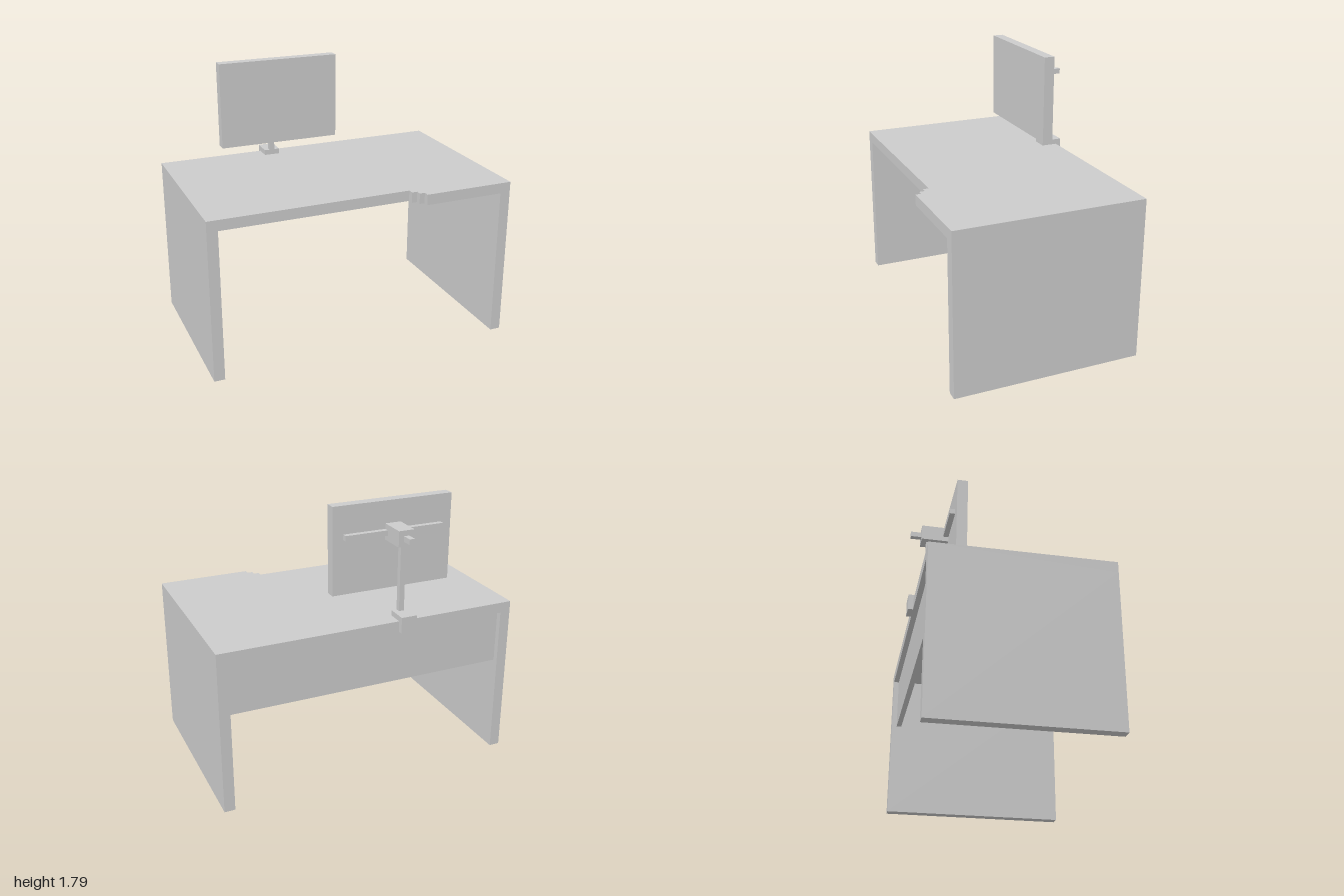
import * as THREE from 'three';

const grey = new THREE.MeshStandardMaterial({ color: 0xcccccc, flatShading: true });

// Box given by its min/max extent on each axis
function box(parent, name, [x0, x1], [y0, y1], [z0, z1]) {
  const mesh = new THREE.Mesh(new THREE.BoxGeometry(x1 - x0, y1 - y0, z1 - z0), grey);
  mesh.position.set((x0 + x1) / 2, (y0 + y1) / 2, (z0 + z1) / 2);
  mesh.name = name;
  parent.add(mesh);
  return mesh;
}

export function createModel() {
  const model = new THREE.Group();
  model.name = 'deskWithMonitor';

  const back = -0.607, frontShallow = 0.53, frontDeep = 0.64;
  const topY = 1.073, underY = 1.003, legX = 0.93;

  // Desk: stepped tabletop, side panels and modesty panel
  const desk = new THREE.Group();
  desk.name = 'desk';
  model.add(desk);

  const outline = new THREE.Shape([
    [-1, back], [1, back], [1, frontDeep], [0.392, frontDeep],
    [0.392, 0.603], [0.357, 0.603], [0.357, 0.567], [0.321, 0.567],
    [0.321, frontShallow], [-1, frontShallow],
  ].map(([x, z]) => new THREE.Vector2(x, -z)));
  const topGeometry = new THREE.ExtrudeGeometry(outline, { depth: topY - underY, bevelEnabled: false });
  topGeometry.rotateX(-Math.PI / 2);
  const tabletop = new THREE.Mesh(topGeometry, grey);
  tabletop.position.y = underY;
  tabletop.name = 'tabletop';
  desk.add(tabletop);

  box(desk, 'rightSidePanel', [-1, -legX], [0, underY], [back, frontShallow]);
  box(desk, 'leftSidePanel', [legX, 1], [0, underY], [back, frontDeep]);
  box(desk, 'modestyPanel', [-legX, legX], [0.647, underY], [back + 0.035, back + 0.07]);

  // Monitor on a clamped stand
  const monitor = new THREE.Group();
  monitor.name = 'monitor';
  model.add(monitor);

  const wide = [-0.285, -0.18], narrow = [-0.25, -0.215], rodY = [1.573, 1.608];
  box(monitor, 'screen', [-0.642, 0.177], [1.218, 1.788], [-0.392, -0.323]);
  box(monitor, 'mountBar', [-0.57, 0.105], rodY, [-0.427, -0.392]);
  box(monitor, 'mountHead', wide, [1.54, 1.643], [-0.57, -0.392]);
  box(monitor, 'mountKnob', narrow, rodY, [-0.64, -0.57]);
  box(monitor, 'post', narrow, [1.108, 1.54], [-0.535, -0.502]);

  // Clamp hooked over the back edge
  box(monitor, 'clampPlate', wide, [topY, 1.108], [-0.64, -0.502]);
  box(monitor, 'clampHook', wide, [underY, topY], [-0.64, back]);

  return model;
}
